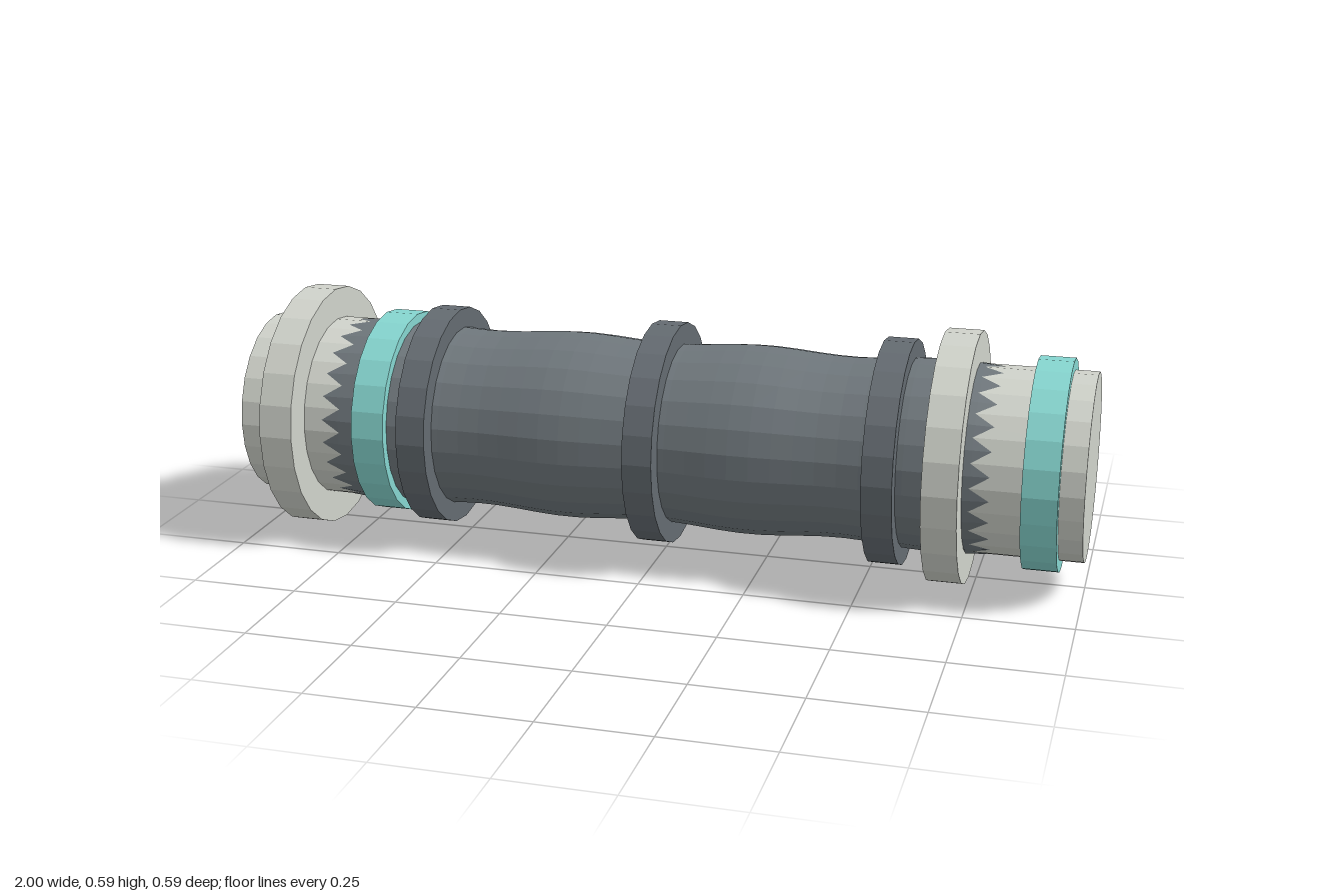
import * as THREE from 'three';

const SIDES = 24;
const AXIS_Y = 0.295;

export function createModel() {
  const group = new THREE.Group();
  const material = (name, color) => {
    const m = new THREE.MeshStandardMaterial({ color, flatShading: true });
    m.name = name;
    return m;
  };
  const lightGrey = material('light grey', 0xd0d3cb);
  const teal = material('teal', 0x86d6d0);
  const bodyGrey = material('body grey', 0x6f777c);
  const ringGrey = material('ring grey', 0x646b71);

  const add = (name, geometry, mat, x) => {
    const mesh = new THREE.Mesh(geometry, mat);
    mesh.name = name;
    mesh.position.set(x, AXIS_Y, 0);
    group.add(mesh);
  };
  // Faceted disc lying along x, between two x positions
  const disc = (name, x0, x1, radius, mat) => {
    const g = new THREE.CylinderGeometry(radius, radius, x1 - x0, SIDES);
    g.rotateZ(-Math.PI / 2);
    add(name, g, mat, (x0 + x1) / 2);
  };

  // Gently rippled tube, turned half a facet against the end sleeves
  const profile = [];
  for (let i = 0; i <= 32; i++) {
    const x = -0.8 + i * 0.05;
    profile.push(new THREE.Vector2(0.218 - 0.006 * Math.cos((2 * Math.PI * x) / 0.44), x));
  }
  const tube = new THREE.LatheGeometry(profile, SIDES, Math.PI / SIDES);
  tube.rotateZ(-Math.PI / 2);
  add('body', tube, bodyGrey, 0);

  // Dark clamping rings
  for (const x of [-0.55, 0, 0.55]) disc('clampRing', x - 0.035, x + 0.035, 0.263, ringGrey);

  // Light end sleeves
  disc('rightSleeve', -1, -0.56, 0.218, lightGrey);
  disc('leftSleeve', 0.56, 1, 0.218, lightGrey);

  // Wide flanges and teal bands, in opposite order at each end
  disc('rightFlange', -0.917, -0.837, 0.293, lightGrey);
  disc('rightBand', -0.705, -0.625, 0.245, teal);
  disc('leftFlange', 0.653, 0.733, 0.293, lightGrey);
  disc('leftBand', 0.865, 0.945, 0.245, teal);

  return group;
}
